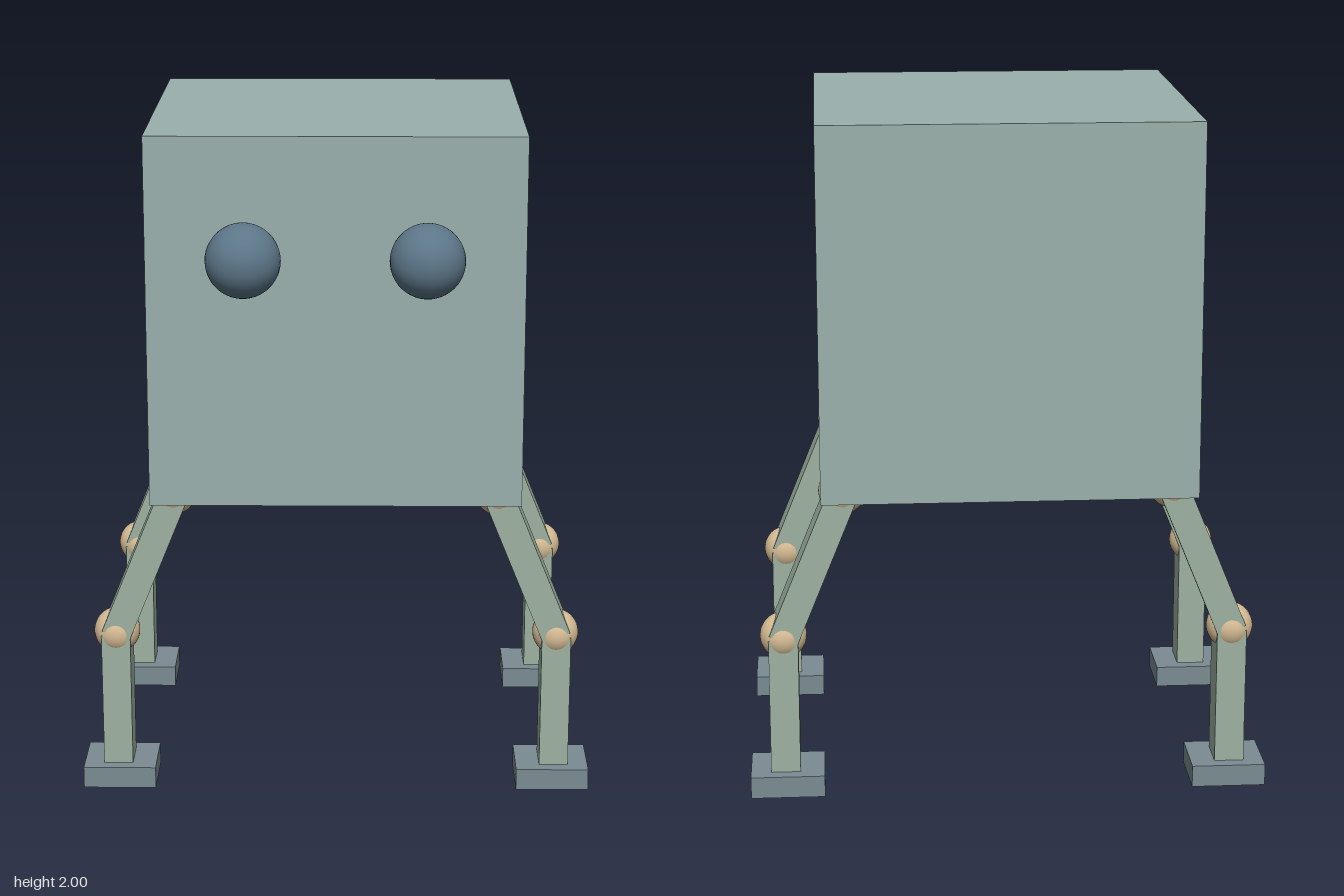
import * as THREE from 'three';

const paint = (color) => new THREE.MeshStandardMaterial({ color });

export function createModel() {
  const model = new THREE.Group();
  model.name = 'fourLeggedCube';

  const bodyMat = paint(0x9ab0ac);
  const legMat = paint(0x9eb2a2);
  const footMat = paint(0x7a8c92);
  const eyeMat = paint(0x5c7688);
  const jointMat = paint(0xd6bc94);

  const add = (parent, name, geometry, material, x, y, z) => {
    const mesh = new THREE.Mesh(geometry, material);
    mesh.name = name;
    mesh.position.set(x, y, z);
    parent.add(mesh);
    return mesh;
  };

  // Body cube
  add(model, 'body', new THREE.BoxGeometry(1.09, 1.09, 1.09), bodyMat, 0, 1.455, -0.077);

  // Eyes, half sunk in the front face
  const eyeGeo = new THREE.SphereGeometry(0.108, 32, 24);
  for (const side of [-1, 1]) {
    add(model, side > 0 ? 'leftEye' : 'rightEye', eyeGeo, eyeMat, side * 0.262, 1.654, 0.518);
  }

  // Legs: hip joint, slanted upper leg, knee joint, upright lower leg, foot
  const hip = new THREE.Vector2(0.482, 0.915);
  const knee = new THREE.Vector2(0.661, 0.475);
  const thigh = knee.clone().sub(hip);
  const middle = hip.clone().add(knee).multiplyScalar(0.5);
  const tilt = Math.atan2(thigh.x, -thigh.y);

  const jointGeo = new THREE.SphereGeometry(0.069, 32, 24);
  const upperGeo = new THREE.BoxGeometry(0.087, thigh.length(), 0.12);
  const lowerGeo = new THREE.BoxGeometry(0.087, knee.y - 0.06, 0.115);
  const footGeo = new THREE.BoxGeometry(0.218, 0.065, 0.194);

  for (const [end, z] of [['front', 0.341], ['back', -0.491]]) {
    for (const side of [-1, 1]) {
      const leg = new THREE.Group();
      leg.name = end + (side > 0 ? 'LeftLeg' : 'RightLeg');
      leg.position.z = z;
      add(leg, 'hipJoint', jointGeo, jointMat, side * hip.x, hip.y, 0);
      add(leg, 'upperLeg', upperGeo, legMat, side * middle.x, middle.y, 0).rotation.z = side * tilt;
      add(leg, 'kneeJoint', jointGeo, jointMat, side * knee.x, knee.y, 0);
      add(leg, 'lowerLeg', lowerGeo, legMat, side * knee.x, (knee.y + 0.06) / 2, 0);
      add(leg, 'foot', footGeo, footMat, side * 0.655, 0.0325, 0);
      model.add(leg);
    }
  }

  return model;
}
